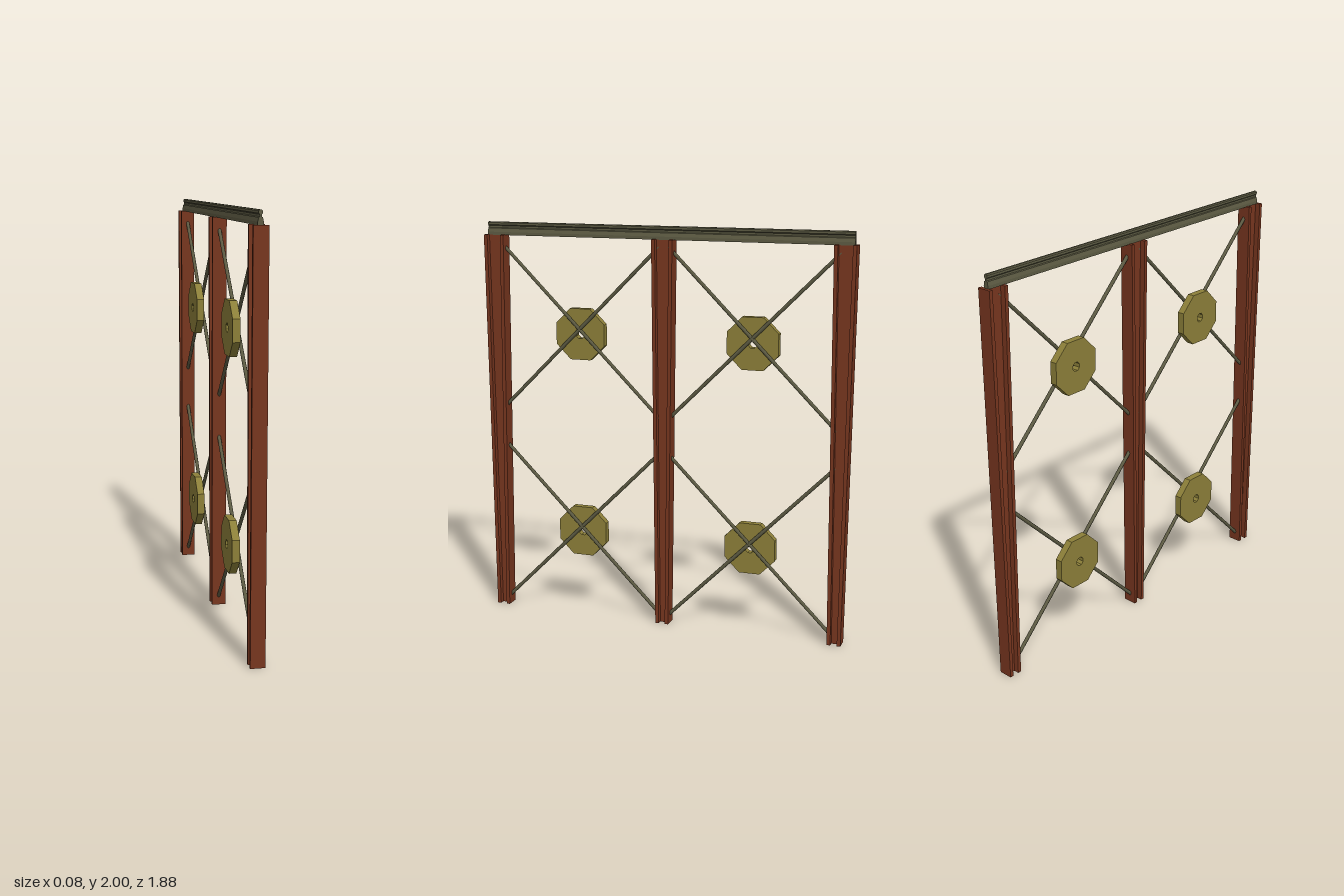
import * as THREE from 'three';

const mat = (name, color) => {
  const m = new THREE.MeshStandardMaterial({ color });
  m.name = name;
  return m;
};

// Points of a regular octagon with level top and bottom sides
function octagon(apothem) {
  const r = apothem / Math.cos(Math.PI / 8);
  return Array.from({ length: 8 }, (_, i) => {
    const a = Math.PI / 8 + i * Math.PI / 4;
    return new THREE.Vector2(r * Math.cos(a), r * Math.sin(a));
  });
}

// Extrudes a side outline drawn in (z, y) along x, centred on x = 0
function sidePlate(shape, width) {
  const g = new THREE.ExtrudeGeometry(shape, { depth: width, bevelEnabled: false });
  g.translate(0, 0, -width / 2);
  g.rotateY(-Math.PI / 2);
  return g;
}

const outline = (pts) => new THREE.Shape(pts.map(([a, b]) => new THREE.Vector2(a, b)));

export function createModel() {
  const rust = mat('rustRed', 0x78361f);
  const steel = mat('greySteel', 0x5d5b43);
  const olive = mat('olive', 0x8c7f39);

  const model = new THREE.Group();
  model.name = 'bracedFrame';
  const add = (parent, name, geometry, material, x = 0, y = 0, z = 0) => {
    const mesh = new THREE.Mesh(geometry, material);
    mesh.name = name;
    mesh.position.set(x, y, z);
    parent.add(mesh);
    return mesh;
  };

  const midX = 0.004;     // plane of the posts, rods and rail
  const postTop = 1.937;
  const topHalf = 0.053, bottomHalf = 0.034, plate = 0.018;

  // Three I-section posts that widen towards the top
  const flange = (s) => sidePlate(outline([
    [s * (bottomHalf - plate), 0], [s * bottomHalf, 0],
    [s * topHalf, postTop], [s * (topHalf - plate), postTop],
  ]), 0.069);
  const web = sidePlate(outline([
    [-bottomHalf + plate, 0], [bottomHalf - plate, 0],
    [topHalf - plate, postTop], [-topHalf + plate, postTop],
  ]), 0.016);
  const flanges = [flange(1), flange(-1)];
  for (const z of [-0.886, 0, 0.886]) {
    const post = new THREE.Group();
    post.name = 'post';
    post.position.set(midX, 0, z);
    flanges.forEach((g) => add(post, 'flange', g, rust));
    add(post, 'web', web, rust);
    model.add(post);
  }

  // Top rail: wide foot, narrow neck and small head
  const half = [
    [0.013, 1.935], [0.013, 1.95], [0.009, 1.968], [0.004, 1.971],
    [0.004, 1.98], [0.009, 1.985], [0.009, 1.995], [0.005, 2],
  ];
  const mirrored = half.map(([x, y]) => [-x, y]).reverse();
  const rail = new THREE.ExtrudeGeometry(outline([...half, ...mirrored]),
    { depth: 1.852, bevelEnabled: false });
  rail.translate(0, 0, -0.926);
  add(model, 'topRail', rail, steel, midX);

  // Crossed rods and an octagonal weight with a bored centre in each bay
  const rod = new THREE.CylinderGeometry(0.009, 0.009, 0.84 * Math.SQRT2, 8);
  const weightShape = new THREE.Shape(octagon(0.128));
  weightShape.holes.push(new THREE.Path(octagon(0.021).reverse()));
  const weight = sidePlate(weightShape, 0.036);

  for (const z of [-0.444, 0.444]) {
    for (const y of [0.46, 1.48]) {
      const bay = new THREE.Group();
      bay.name = 'bracedBay';
      bay.position.set(0, y, z);
      for (const s of [-1, 1]) {
        add(bay, 'braceRod', rod, steel, midX).rotation.x = s * Math.PI / 4;
      }
      add(bay, 'octagonWeight', weight, olive, -0.022, -0.026, 0);
      model.add(bay);
    }
  }
  return model;
}
